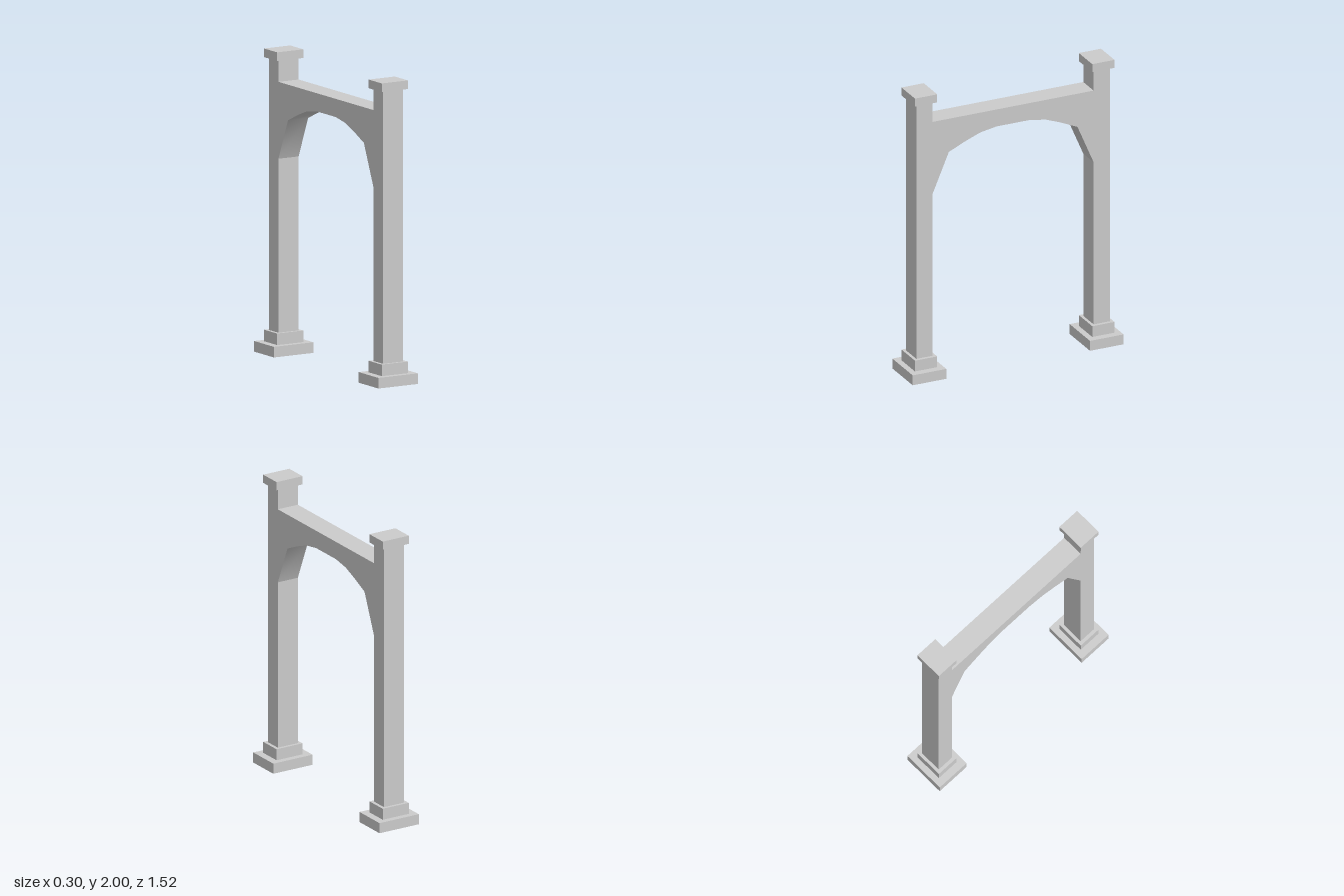
import * as THREE from 'three';
import { toCreasedNormals } from 'three/addons/utils/BufferGeometryUtils.js';

const HALF_WIDTH = 0.077; // half thickness of columns and arch along x
const COLUMN_Z = 0.638;
const INNER_Z = 0.579; // inner face of the columns

export function createModel() {
  const group = new THREE.Group();
  group.name = 'archway';
  const material = new THREE.MeshStandardMaterial({ color: 0xcccccc });

  // Block between two heights, centred on its post
  const block = (name, parent, width, depth, bottom, top) => {
    const mesh = new THREE.Mesh(new THREE.BoxGeometry(width, top - bottom, depth), material);
    mesh.name = name;
    mesh.position.y = (bottom + top) / 2;
    parent.add(mesh);
  };

  // Two matching posts: stepped foot, square column, cap
  for (const side of [1, -1]) {
    const post = new THREE.Group();
    post.name = side > 0 ? 'frontPost' : 'backPost';
    post.position.z = side * COLUMN_Z;
    block('base', post, 0.302, 0.242, 0, 0.07);
    block('plinth', post, 0.2, 0.16, 0.07, 0.146);
    block('column', post, HALF_WIDTH * 2, 0.118, 0.146, 1.943);
    block('cap', post, 0.2, 0.16, 1.943, 2);
    group.add(post);
  }

  // Flat-topped beam with an arched underside, drawn as a mirrored profile
  const half = [[INNER_Z, 1.293], [0.463, 1.565], [0.341, 1.62], [0.236, 1.66], [0.119, 1.68]];
  const underside = [...half, ...half.map(([z, y]) => [-z, y]).reverse()];
  const outline = [...underside, [-INNER_Z, 1.8], [INNER_Z, 1.8]];
  const shape = new THREE.Shape(outline.map(([z, y]) => new THREE.Vector2(z, y)));
  const geometry = new THREE.ExtrudeGeometry(shape, { depth: HALF_WIDTH * 2, bevelEnabled: false });
  geometry.translate(0, 0, -HALF_WIDTH);
  geometry.rotateY(Math.PI / 2);
  const beam = new THREE.Mesh(toCreasedNormals(geometry, 0.9), material);
  beam.name = 'archedBeam';
  group.add(beam);

  return group;
}
